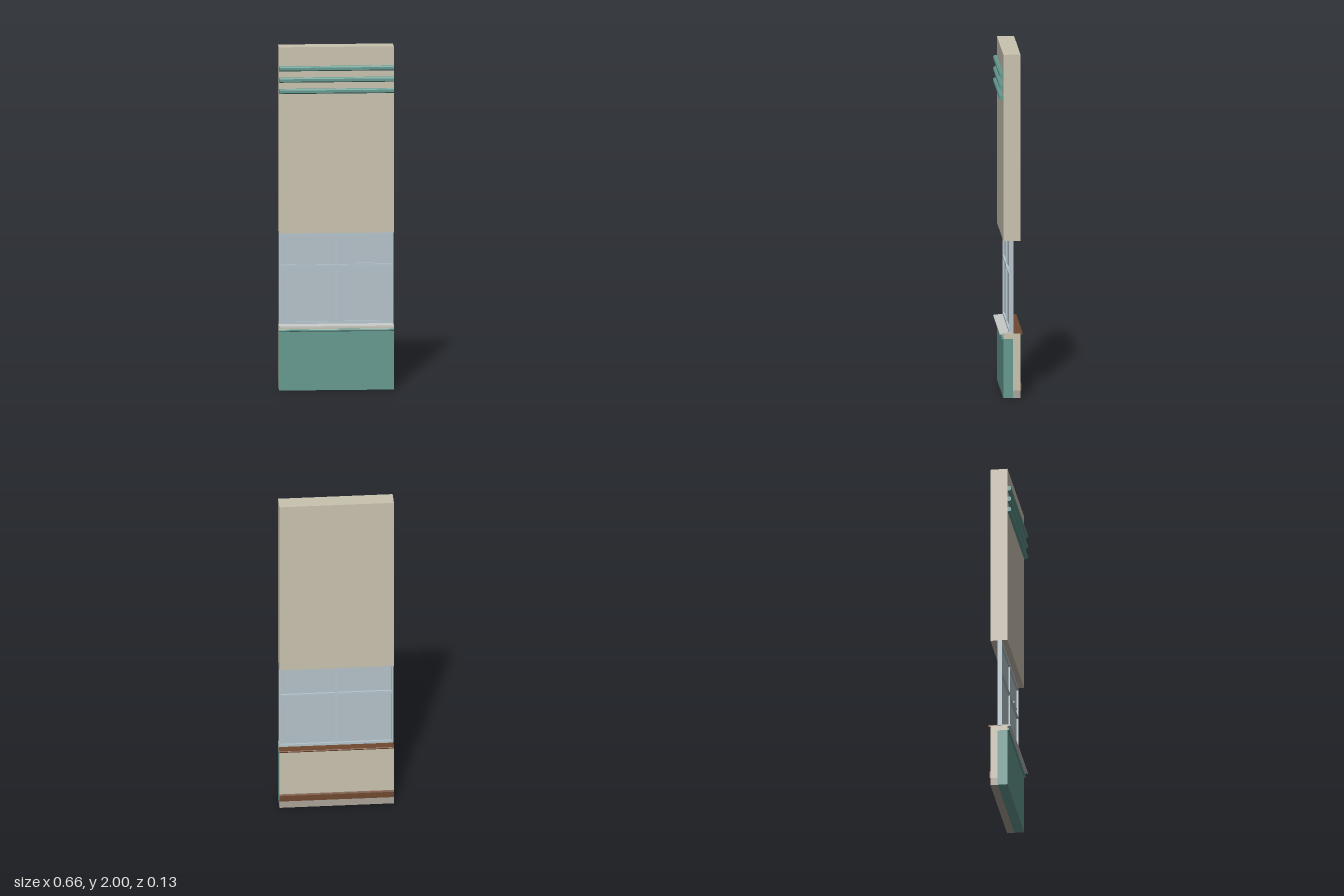
import * as THREE from 'three';

const mat = (name, color) => new THREE.MeshStandardMaterial({ name, color });

export function createModel() {
  const group = new THREE.Group();
  group.name = 'wallPanelWithWindow';
  const W = 0.66;

  const plaster = mat('beige plaster', 0xc9c2b0);
  const teal = mat('teal cladding', 0x64998f);
  const metal = mat('window frame blue grey', 0xb5c4cc);
  const glass = mat('glass blue grey', 0xb4c2c9);
  const stone = mat('sill light grey', 0xc6c8c6);
  const wood = mat('brown wood', 0x70492f);
  const base = mat('grey floor edge', 0xaaa398);

  // Box given by its limits on each axis
  const box = (name, m, x0, x1, y0, y1, z0, z1) => {
    const mesh = new THREE.Mesh(new THREE.BoxGeometry(x1 - x0, y1 - y0, z1 - z0), m);
    mesh.position.set((x0 + x1) / 2, (y0 + y1) / 2, (z0 + z1) / 2);
    mesh.name = name;
    group.add(mesh);
    return mesh;
  };
  // Moulding: a (z, y) profile run along the full width
  const moulding = (name, m, pts, y = 0, width = W) => {
    const shape = new THREE.Shape(pts.map(([z, h]) => new THREE.Vector2(z, h)));
    const geo = new THREE.ExtrudeGeometry(shape, { depth: width, bevelEnabled: false });
    geo.translate(0, 0, -width / 2).rotateY(-Math.PI / 2);
    const mesh = new THREE.Mesh(geo, m);
    mesh.position.y = y;
    mesh.name = name;
    group.add(mesh);
  };
  const H = W / 2;

  // Upper wall with three chamfered strips
  box('upperWall', plaster, -H, H, 0.915, 2, -0.055, 0.044);
  for (const y of [1.73, 1.796, 1.862]) {
    moulding('facadeStrip', teal, [
      [0.044, 0], [0.058, 0], [0.065, 0.006], [0.065, 0.021], [0.058, 0.028], [0.044, 0.028],
    ], y);
  }

  // Lower wall: cladding in front, plaster behind, floor edge below
  box('lowerCladding', teal, -H, H, 0, 0.345, -0.013, 0.044);
  box('lowerInnerWall', plaster, -H, H, 0.045, 0.345, -0.055, -0.013);
  box('floorEdge', base, -H, H, 0, 0.045, -0.055, -0.013);
  box('wallCap', plaster, -H, H, 0.345, 0.376, -0.055, 0.044);

  // Outer sill, bead under it, inner sill and skirting
  moulding('outerSill', stone, [
    [0.012, 0.376], [0.044, 0.37], [0.058, 0.37], [0.065, 0.369], [0.065, 0.376], [0.012, 0.382],
  ]);
  moulding('claddingBead', teal, [
    [0.044, 0.343], [0.051, 0.343], [0.054, 0.347], [0.054, 0.353], [0.051, 0.357], [0.044, 0.357],
  ]);
  moulding('innerSill', wood, [
    [-0.015, 0.376], [-0.015, 0.381], [-0.066, 0.381], [-0.068, 0.378], [-0.066, 0.371],
    [-0.055, 0.371], [-0.055, 0.376],
  ]);
  moulding('skirting', wood, [
    [-0.055, 0.045], [-0.055, 0.09], [-0.058, 0.088], [-0.061, 0.08], [-0.061, 0.045],
  ]);

  // Window frame, glazing bars, glass and latch
  const [zb, zf] = [-0.015, 0.012];
  for (const s of [-1, 1]) {
    const xs = [s * H, s * (H - 0.012)].sort((a, b) => a - b);
    box('frameSide', metal, ...xs, 0.378, 0.915, zb, zf);
  }
  box('frameTop', metal, -H + 0.012, H - 0.012, 0.895, 0.915, zb, zf);
  box('frameBottom', metal, -H + 0.012, H - 0.012, 0.378, 0.396, zb, zf);
  box('mullion', metal, -0.007, 0.007, 0.396, 0.895, zb, zf);
  for (const s of [-1, 1]) {
    const xs = [s * 0.007, s * (H - 0.012)].sort((a, b) => a - b);
    box('transom', metal, ...xs, 0.714, 0.727, zb, zf);
    box('lowerPane', glass, ...xs, 0.396, 0.714, -0.004, 0.001);
    box('upperPane', glass, ...xs, 0.727, 0.895, -0.004, 0.001);
  }
  box('latch', metal, 0.115, 0.215, 0.725, 0.736, 0.0, 0.018);

  return group;
}
